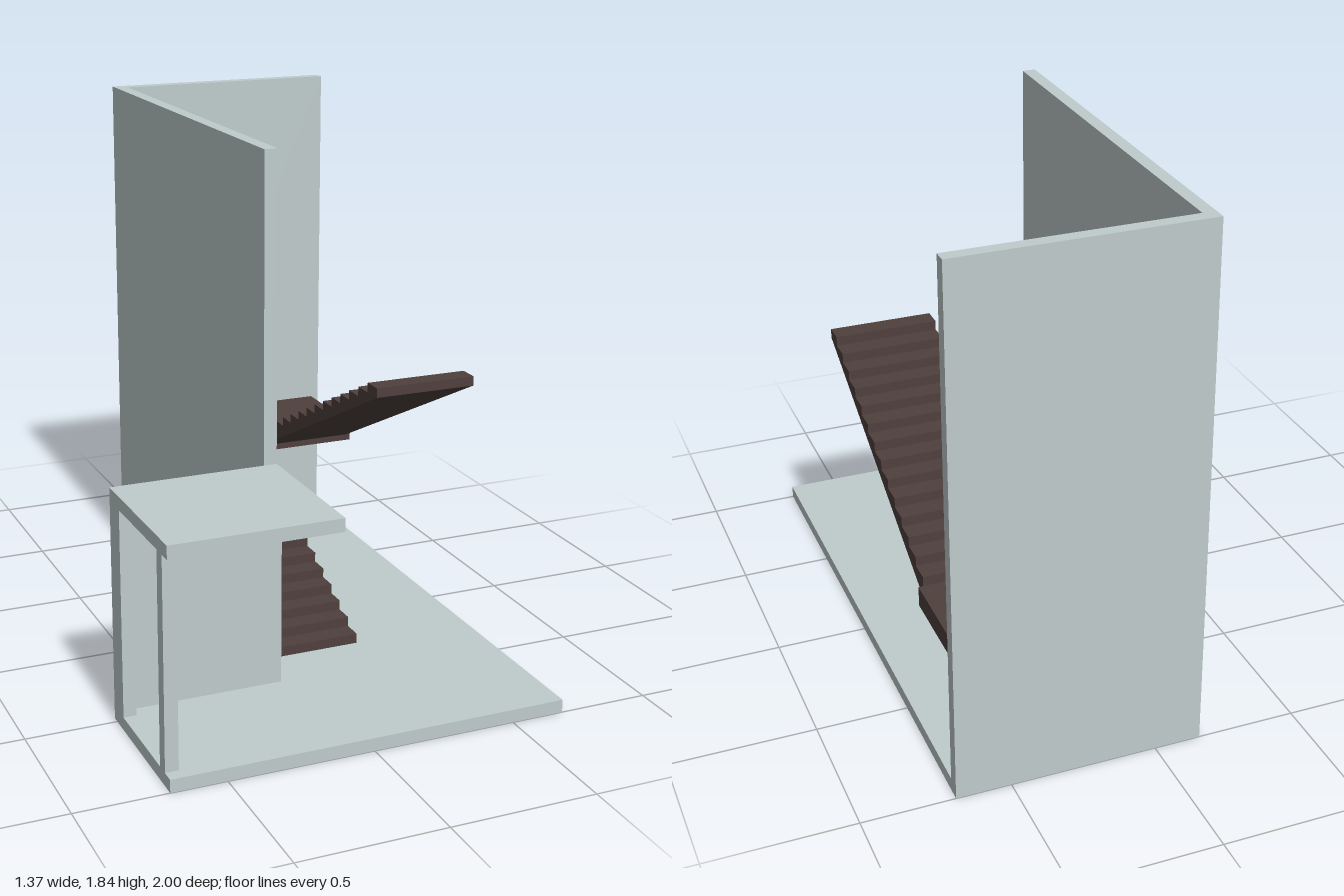
import * as THREE from 'three';

const wallMat = new THREE.MeshStandardMaterial({ color: 0xc0cccc, flatShading: true });
const stairMat = new THREE.MeshStandardMaterial({ color: 0x4f403d, flatShading: true });

export function createModel() {
  const group = new THREE.Group();

  const add = (name, geometry, material) => {
    const mesh = new THREE.Mesh(geometry, material);
    mesh.name = name;
    group.add(mesh);
  };

  // Box given by its minimum and maximum corners
  const box = (name, [x0, y0, z0], [x1, y1, z1], material = wallMat) => {
    const g = new THREE.BoxGeometry(x1 - x0, y1 - y0, z1 - z0);
    g.translate((x0 + x1) / 2, (y0 + y1) / 2, (z0 + z1) / 2);
    add(name, g, material);
  };

  // Stepped side profile (along -z, y) extruded across x
  const flight = (name, x0, x1, points) => {
    const shape = new THREE.Shape(points.map(([z, y]) => new THREE.Vector2(-z, y)));
    const g = new THREE.ExtrudeGeometry(shape, { depth: x1 - x0, bevelEnabled: false });
    g.rotateY(Math.PI / 2).translate(x0, 0, 0);
    add(name, g, stairMat);
  };

  const t = 0.045; // thickness of slabs, walls and posts
  const left = -0.688, right = 0.686, inner = -0.115, wallX = inner - t, step = 0.475;

  // L-shaped floor slab
  const plan = [[left, 1], [right, 1], [right, -1], [wallX, -1], [wallX, step], [left, step]];
  const floor = new THREE.ExtrudeGeometry(
    new THREE.Shape(plan.map(([x, z]) => new THREE.Vector2(x, -z))),
    { depth: t, bevelEnabled: false });
  add('floor', floor.rotateX(-Math.PI / 2), wallMat);

  // Tall walls
  box('sideWall', [wallX, t, -1], [inner, 1.84, step]);
  box('backWall', [inner, t, -1], [right, 1.84, -1 + t]);

  // Porch: rear wall, two posts and a flat roof
  box('porchWall', [left, t, step], [inner, 0.76, step + t]);
  for (const z of [step + t, 1 - 2 * t]) box('porchPost', [left, t, z], [left + t, 0.76, z + t]);
  box('porchRoof', [left, 0.76, step], [inner, 0.805, 1]);

  // Half landing
  const landZ = -0.58, landY = 0.525, run = 0.0711;
  box('landing', [inner, 0.455, -1 + t], [0.656, landY, landZ], stairMat);

  // Lower flight climbs towards the back wall
  const lower = [];
  const riseLow = (landY - t) / 14;
  const startZ = landZ + 13 * run;
  for (let i = 0; i < 13; i++) {
    const z = startZ - i * run;
    lower.push([z, t + i * riseLow], [z, t + (i + 1) * riseLow]);
  }
  lower.push([landZ, landY - riseLow], [landZ, 0.458], [0.24, t]);
  flight('lowerFlight', inner, 0.25, lower);

  // Upper flight returns towards the front
  const upper = [];
  const riseUp = (0.998 - landY) / 14;
  for (let i = 0; i < 14; i++) {
    const y = landY + (i + 1) * riseUp;
    upper.push([landZ + i * run, y], [landZ + (i + 1) * run, y]);
  }
  upper.push([landZ + 14 * run, 0.965], [landZ, 0.478]);
  flight('upperFlight', 0.274, 0.64, upper);

  return group;
}
